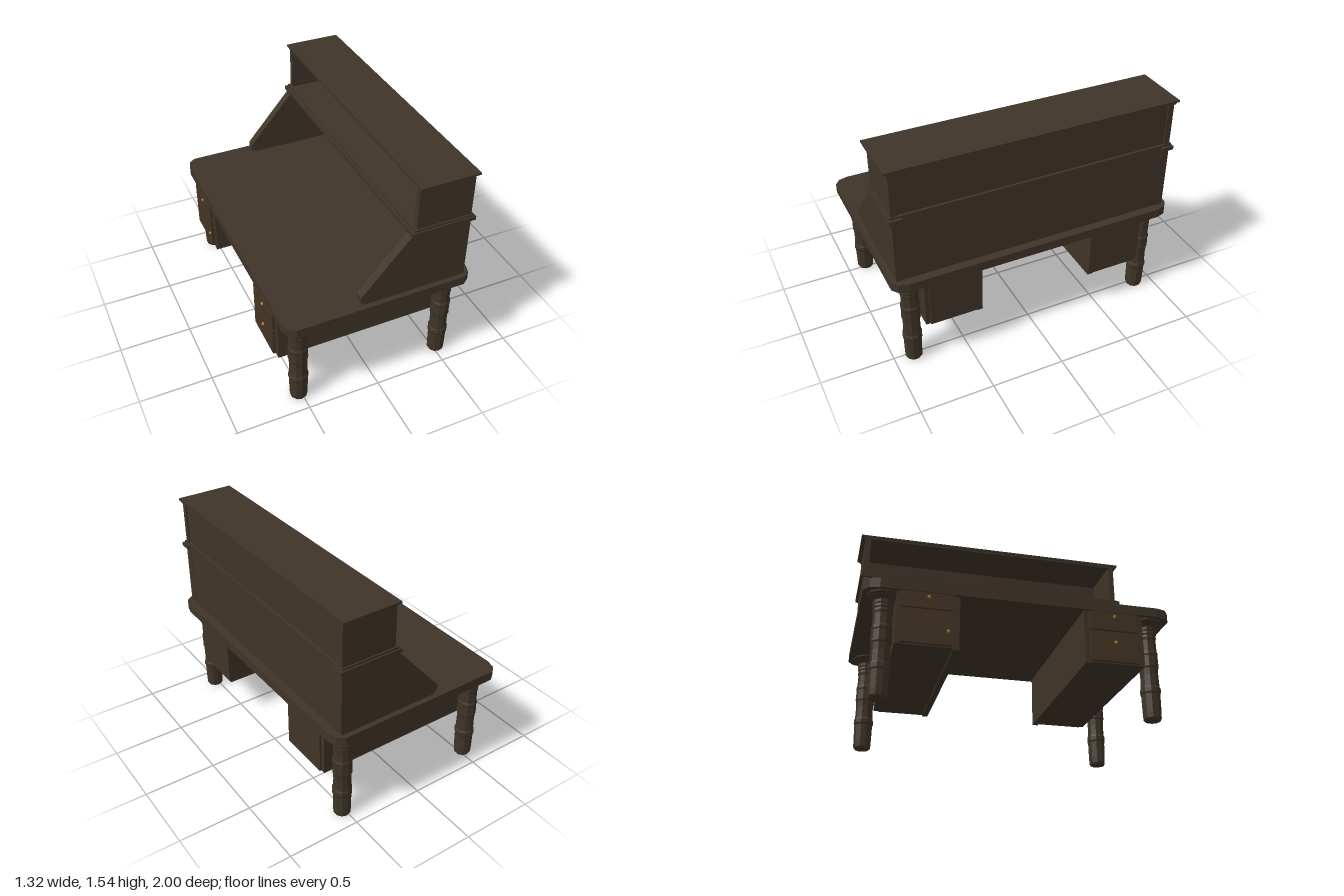
import * as THREE from 'three';

const wood = new THREE.MeshStandardMaterial({ color: 0x3f3428, flatShading: true });
const drawerWood = new THREE.MeshStandardMaterial({ color: 0x443424, flatShading: true });
const brass = new THREE.MeshStandardMaterial({ color: 0xb07a2a });

function add(parent, name, geometry, material = wood) {
  const mesh = new THREE.Mesh(geometry, material);
  mesh.name = name;
  parent.add(mesh);
  return mesh;
}

// Box given by its extents along each axis
function box(parent, name, [x0, x1], [y0, y1], [z0, z1], material) {
  const mesh = add(parent, name, new THREE.BoxGeometry(x1 - x0, y1 - y0, z1 - z0), material);
  mesh.position.set((x0 + x1) / 2, (y0 + y1) / 2, (z0 + z1) / 2);
  return mesh;
}

function polygon(points) {
  return new THREE.Shape(points.map(([x, y]) => new THREE.Vector2(x, y)));
}

function group(parent, name) {
  const g = new THREE.Group();
  g.name = name;
  parent.add(g);
  return g;
}

// Tabletop with clipped, two-step corners
function buildTop(parent) {
  const corner = [[0, 0.1], [0.018, 0.035], [0.065, 0]];
  const pts = [];
  for (const [sx, sz] of [[-1, -1], [1, -1], [1, 1], [-1, 1]]) {
    const c = corner.map(([a, b]) => [sx > 0 ? 0.655 - a : -0.643 + a, sz * (1 - b)]);
    pts.push(...(sx * sz > 0 ? c : c.reverse()));
  }
  const geo = new THREE.ExtrudeGeometry(polygon(pts), { depth: 0.063, bevelEnabled: false });
  geo.rotateX(Math.PI / 2);
  add(parent, 'tabletop', geo).position.y = 0.738;
}

// Turned, faceted legs with rings and a flared head
function buildLegs(parent) {
  const profile = [
    [0, 0], [0.05, 0], [0.058, 0.012], [0.06, 0.05], [0.062, 0.17], [0.067, 0.182],
    [0.067, 0.21], [0.061, 0.222], [0.059, 0.3], [0.061, 0.345], [0.066, 0.355],
    [0.064, 0.43], [0.067, 0.44], [0.066, 0.455], [0.061, 0.465], [0.06, 0.54],
    [0.064, 0.56], [0.062, 0.575], [0.066, 0.585], [0.064, 0.6], [0.067, 0.61],
    [0.067, 0.63], [0.075, 0.64], [0.105, 0.665], [0.107, 0.676], [0, 0.676],
  ].map(([r, y]) => new THREE.Vector2(r, y));
  const geo = new THREE.LatheGeometry(profile, 10);
  for (const x of [-0.52, 0.52]) {
    for (const z of [-0.865, 0.865]) add(parent, 'leg', geo).position.set(x, 0, z);
  }
}

// Drawer pedestal on one side; knobs are [height, z]
function buildPedestal(parent, name, side, [z0, z1], split, knobs) {
  const g = group(parent, name);
  const span = (a, b) => [Math.min(a * side, b * side), Math.max(a * side, b * side)];
  box(g, 'pedestalBody', [-0.625, 0.61], [0.322, 0.676], span(0.402, 0.795));
  box(g, 'backStile', [0.61, 0.622], [0.322, 0.676], span(0.402, 0.765));
  box(g, 'bottomRail', [-0.63, 0.615], [0.31, 0.322], span(0.4, 0.44));
  box(g, 'upperDrawer', [-0.646, -0.625], [split + 0.004, 0.67], [z0, z1], drawerWood);
  box(g, 'lowerDrawer', [-0.646, -0.625], [0.33, split - 0.004], [z0, z1], drawerWood);
  for (const [y, z] of knobs) {
    add(g, 'knob', new THREE.SphereGeometry(0.011, 10, 8), brass).position.set(-0.65, y, z);
  }
}

// Lower hutch: sloped ends and a back panel
function buildLowerHutch(parent) {
  const g = group(parent, 'lowerHutch');
  const end = polygon([
    [-0.115, 0.738], [0.6, 0.738], [0.6, 1.185], [0.2, 1.185],
    [-0.137, 0.8], [-0.137, 0.755], [-0.115, 0.755],
  ]);
  const geo = new THREE.ExtrudeGeometry(end, { depth: 0.06, bevelEnabled: false });
  for (const z of [-0.965, 0.905]) add(g, 'slopedEnd', geo).position.z = z;
  box(g, 'hutchBack', [0.57, 0.598], [0.738, 1.185], [-0.905, 0.905]);
}

// Upper hutch: ledge moulding, open cubby and cornice
function buildUpperHutch(parent) {
  const g = group(parent, 'upperHutch');
  box(g, 'ledge', [0.18, 0.605], [1.182, 1.208], [-0.985, 0.985]);
  box(g, 'ledgeStep', [0.2, 0.604], [1.208, 1.222], [-0.975, 0.975]);
  for (const s of [-1, 1]) {
    const outer = [0.9, 0.985].map((v) => v * s).sort((a, b) => a - b);
    box(g, 'ledgeReturn', [0.6, 0.622], [1.182, 1.208], outer);
    const wall = [0.925, 0.965].map((v) => v * s).sort((a, b) => a - b);
    box(g, 'cubbyEnd', [0.22, 0.597], [1.222, 1.515], wall);
  }
  box(g, 'cubbyBack', [0.565, 0.588], [1.222, 1.515], [-0.925, 0.925]);
  box(g, 'corniceStep', [0.217, 0.602], [1.512, 1.527], [-0.978, 0.978]);
  box(g, 'corniceTop', [0.21, 0.61], [1.527, 1.54], [-0.995, 0.995]);
}

export function createModel() {
  const desk = new THREE.Group();
  desk.name = 'writingDesk';
  buildTop(desk);
  buildLegs(desk);
  buildPedestal(desk, 'leftPedestal', 1, [0.435, 0.755], 0.54, [[0.64, 0.6], [0.46, 0.6]]);
  buildPedestal(desk, 'rightPedestal', -1, [-0.77, -0.45], 0.56, [[0.64, -0.6], [0.42, -0.475]]);
  buildLowerHutch(desk);
  buildUpperHutch(desk);
  return desk;
}
